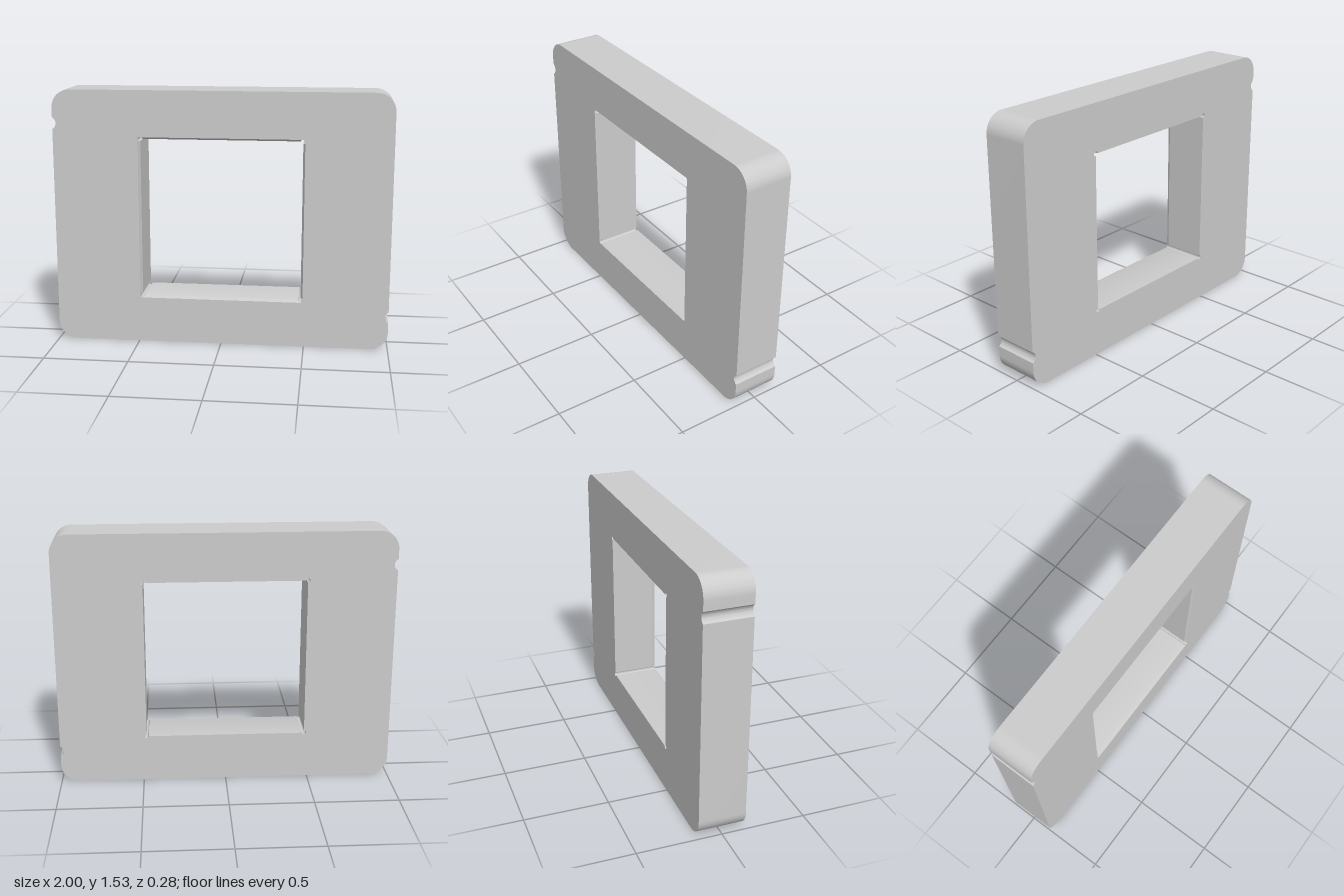
import * as THREE from 'three';
import { toCreasedNormals } from 'three/addons/utils/BufferGeometryUtils.js';

const W = 1, H = 0.765, DEPTH = 0.28;      // half width, half height, thickness
const CORNER = 0.11;                       // outer corner radius
const HOLE = 0.478, RELIEF = 0.013;        // half window size, corner relief radius
const CHAMFER = 0.012, CHAMFER_DEPTH = 0.02;

// Rounded outline with one round notch per side, symmetric under a half turn
function plateShape() {
  const shape = new THREE.Shape();
  const r = 0.038, offset = 0.017, a = Math.acos(offset / r);
  for (const s of [1, -1]) {
    const turn = s > 0 ? 0 : Math.PI;
    const x = W - CORNER, y = H - CORNER;
    shape.absarc(s * x, -s * y, CORNER, turn - Math.PI / 2, turn, false);
    shape.absarc(s * (W + offset), s * (0.2 - H), r, turn + Math.PI + a, turn + Math.PI - a, true);
    shape.absarc(s * x, s * y, CORNER, turn, turn + Math.PI / 2, false);
  }
  shape.closePath();
  return shape;
}

// Square window with a small relief bore at each corner
function windowPath() {
  const path = new THREE.Path();
  for (let i = 0; i < 4; i++) {
    const t = -i * Math.PI / 2;
    const x = HOLE * (i < 2 ? 1 : -1), y = HOLE * (i === 0 || i === 3 ? 1 : -1);
    path.absarc(x, y, RELIEF, t + Math.PI, t - Math.PI / 2, true);
  }
  path.closePath();
  return path;
}

export function createModel() {
  const group = new THREE.Group();
  const shape = plateShape();
  shape.holes.push(windowPath());
  let geo = new THREE.ExtrudeGeometry(shape, {
    depth: DEPTH, steps: 2, bevelEnabled: false, curveSegments: 18,
  });

  // Middle layer sets the chamfer depth; the front window edge is widened
  const p = geo.attributes.position;
  const widen = (v) => Math.sign(v) * Math.max(Math.abs(v), HOLE + CHAMFER);
  for (let i = 0; i < p.count; i++) {
    const x = p.getX(i), y = p.getY(i), z = p.getZ(i);
    if (Math.abs(z - DEPTH / 2) < 0.01) p.setZ(i, DEPTH - CHAMFER_DEPTH);
    if (z > DEPTH - 0.01 && Math.abs(x) < 0.55 && Math.abs(y) < 0.55) {
      if (Math.abs(x) < HOLE - 1e-4) p.setY(i, widen(y));
      if (Math.abs(y) < HOLE - 1e-4) p.setX(i, widen(x));
    }
  }
  geo.translate(0, H, -DEPTH / 2);
  geo = toCreasedNormals(geo, Math.PI / 7);

  const plate = new THREE.Mesh(geo, new THREE.MeshStandardMaterial({ color: 0xcccccc }));
  plate.name = 'framePlate';
  group.add(plate);
  return group;
}
